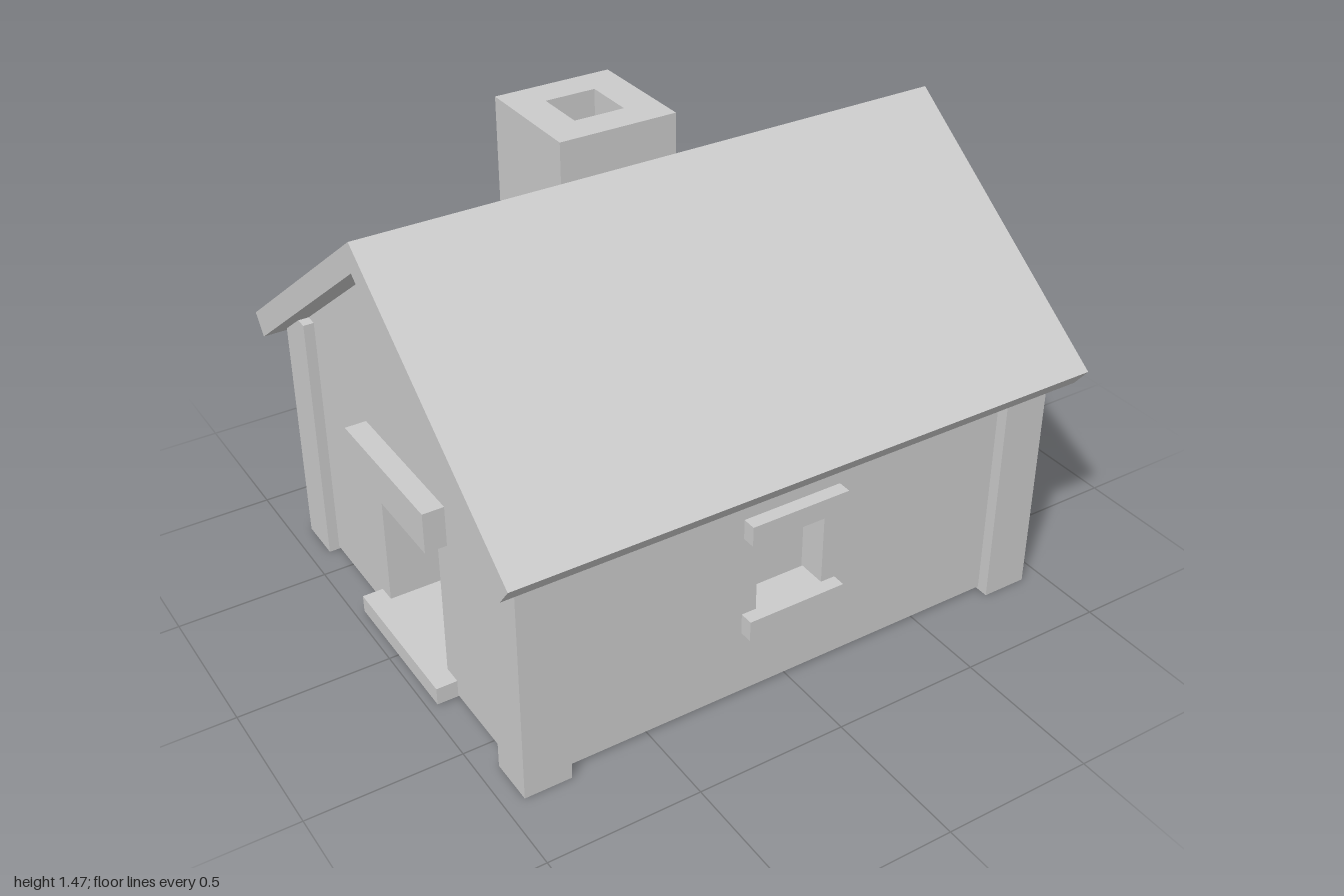
import * as THREE from 'three';

const material = new THREE.MeshStandardMaterial({ color: 0xcccccc, flatShading: true });

function shapeOf(points) {
  return new THREE.Shape(points.map(([a, b]) => new THREE.Vector2(a, b)));
}

function holeOf(a0, a1, b0, b1) {
  return new THREE.Path([[a0, b0], [a0, b1], [a1, b1], [a1, b0]].map(([a, b]) => new THREE.Vector2(a, b)));
}

function extrude(shape, depth) {
  return new THREE.ExtrudeGeometry(shape, { depth, bevelEnabled: false });
}

// Extrudes a shape drawn as (-z, y) along x from x0 to x1.
function extrudeAlongX(shape, x0, x1) {
  return extrude(shape, x1 - x0).rotateY(Math.PI / 2).translate(x0, 0, 0);
}

export function createModel() {
  const house = new THREE.Group();
  house.name = 'cottage';

  const add = (name, geometry) => {
    const mesh = new THREE.Mesh(geometry, material);
    mesh.name = name;
    house.add(mesh);
  };
  // Box given by its limits on each axis.
  const box = (name, [x0, x1], [y0, y1], [z0, z1]) =>
    add(name, new THREE.BoxGeometry(x1 - x0, y1 - y0, z1 - z0)
      .translate((x0 + x1) / 2, (y0 + y1) / 2, (z0 + z1) / 2));

  const roofUnder = z => 1.363 - 0.7475 * Math.abs(z);
  const floorY = 0.01, wallX = 0.9, wallZ = 0.715, innerZ = 0.615, innerX = -0.69;
  const gable = front => shapeOf([
    [-front, floorY], [wallZ, floorY], [wallZ, roofUnder(wallZ)],
    [0, roofUnder(0)], [-front, roofUnder(front)],
  ]);

  // Main body behind the two pierced walls
  add('body', extrudeAlongX(gable(innerZ), innerX, wallX));

  // Front wall with window recess
  const frontWall = shapeOf([[innerX, floorY], [wallX, floorY], [wallX, 0.9], [innerX, 0.9]]);
  frontWall.holes.push(holeOf(-0.12, 0.12, 0.3, 0.59));
  add('frontWall', extrude(frontWall, wallZ - innerZ).translate(0, 0, innerZ));

  // Gable wall with door recess
  const doorWall = gable(wallZ);
  doorWall.holes.push(holeOf(-0.21, 0.19, 0.06, 0.58));
  add('doorWall', extrudeAlongX(doorWall, -wallX, innerX));

  // Window and door trim
  box('windowLintel', [-0.17, 0.17], [0.583, 0.65], [0.62, 0.76]);
  box('windowSill', [-0.17, 0.17], [0.235, 0.305], [0.62, 0.76]);
  box('doorLintel', [-0.97, -0.7], [0.573, 0.71], [-0.25, 0.275]);
  box('doorStep', [-0.97, -0.7], [0.005, 0.065], [-0.25, 0.275]);

  // Corner posts; the one at the back sits further out than the rest
  box('frontRightPost', [-0.935, -0.78], [0, 0.88], [0.6, 0.755]);
  box('frontLeftPost', [0.775, 0.93], [0, 0.88], [0.6, 0.755]);
  box('backRightPost', [-0.935, -0.78], [0, 0.88], [-0.76, -0.605]);
  box('backLeftPost', [0.825, 0.98], [0, 0.85], [-0.8, -0.643]);

  // Pitched roof
  const roof = shapeOf([
    [-0.85, 0.83], [-0.8, 0.765], [0, 1.363], [0.8, 0.765], [0.85, 0.83], [0, 1.46],
  ]);
  add('roof', extrudeAlongX(roof, -1, 1));

  // Hollow chimney, open down to the roof
  const chimney = shapeOf([[-0.208, 0.235], [0.205, 0.235], [0.205, 0.645], [-0.208, 0.645]]);
  chimney.holes.push(holeOf(-0.09, 0.087, 0.35, 0.53));
  add('chimney', extrude(chimney, 0.518).rotateX(-Math.PI / 2).translate(0, 0.95, 0));

  return house;
}
